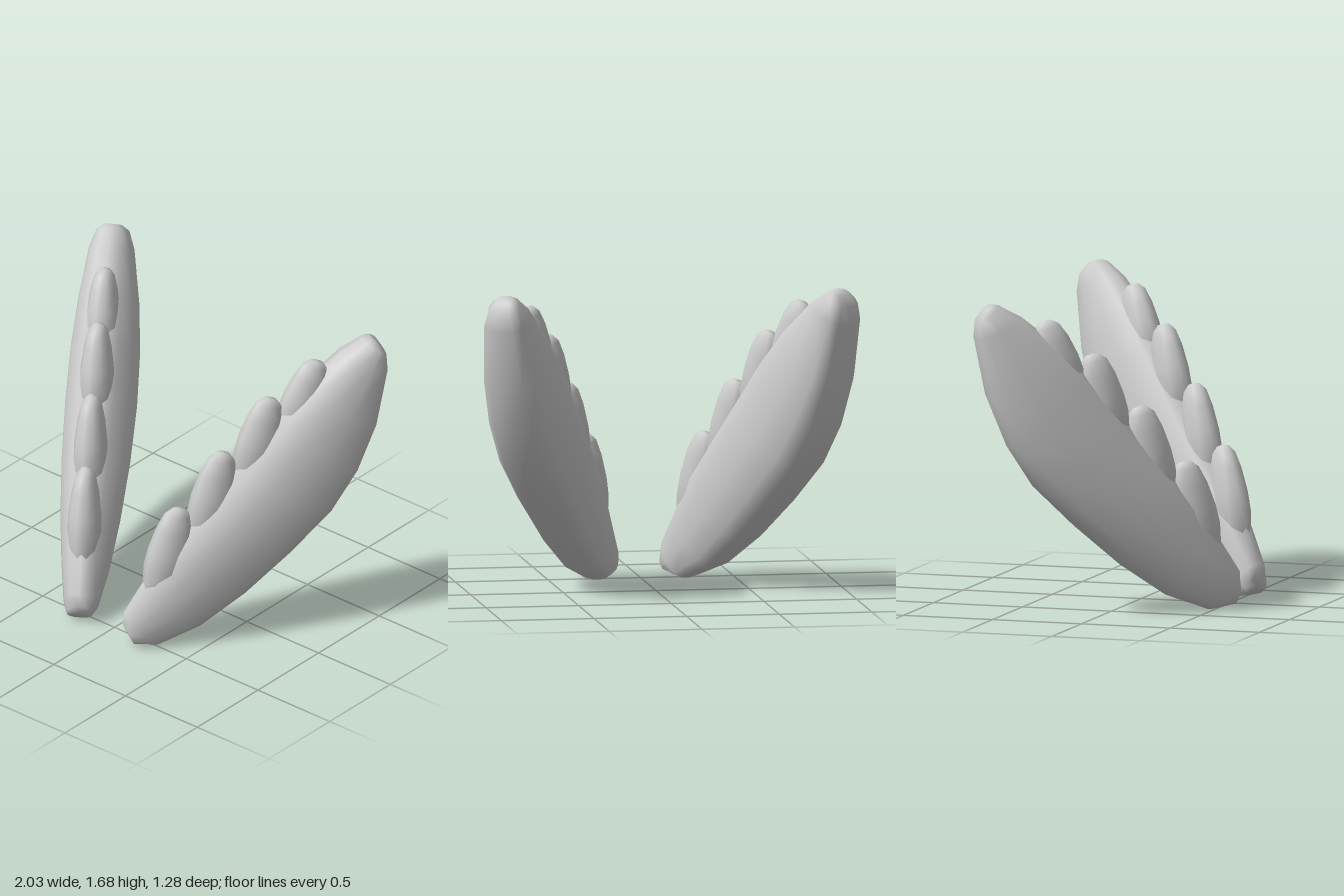
import * as THREE from 'three';

const SIDES = 12;
const W = 0.462; // sideways offset of each blade's mid plane
const along = (z) => (0.251 - z) / 0.842; // depth -> distance along the blade plane

// Blade sections: [lower z, lower y, upper z, upper y, half thickness]
const SECTIONS = [
  [0.575, 0.03, 0.61, 0.12, 0.07],
  [0.46, 0.005, 0.61, 0.2, 0.095],
  [0.265, 0.09, 0.515, 0.38, 0.13],
  [0.055, 0.26, 0.405, 0.58, 0.162],
  [-0.16, 0.48, 0.265, 0.78, 0.184],
  [-0.35, 0.7, 0.095, 1.02, 0.193],
  [-0.47, 0.92, -0.08, 1.27, 0.187],
  [-0.56, 1.18, -0.22, 1.44, 0.165],
  [-0.615, 1.5, -0.4, 1.61, 0.122],
  [-0.61, 1.59, -0.51, 1.68, 0.088],
  [-0.58, 1.65, -0.54, 1.685, 0.048],
];

// Teeth: [tip z, tip y, half height, lean]
const TEETH = [
  [0.35, 0.805, 0.33, 0.2],
  [0.145, 1.11, 0.33, 0.2],
  [-0.075, 1.4, 0.31, 0.22],
  [-0.295, 1.585, 0.28, 0.3],
];

const soften = (v, power) => Math.sign(v) * Math.abs(v) ** power;

// Loft sections, fuller along the rear edge, and close both ends
function bladeGeometry() {
  const pos = [];
  const index = [];
  const centres = [];
  for (const [lz, ly, uz, uy, t] of SECTIONS) {
    const low = new THREE.Vector3(along(lz), ly, W);
    const up = new THREE.Vector3(along(uz), uy, W);
    const mid = low.clone().add(up).multiplyScalar(0.5);
    const half = up.sub(mid);
    centres.push(mid);
    for (let j = 0; j < SIDES; j++) {
      const a = (j / SIDES) * Math.PI * 2;
      const c = Math.cos(a), s = Math.sin(a);
      const power = c < -0.01 ? 0.78 : 0.92;
      const p = mid.clone().addScaledVector(half, soften(c, power) - 0.15 * s * s);
      pos.push(p.x, p.y, W + t * soften(s, power));
    }
  }
  const last = SECTIONS.length - 1;
  const foot = pos.length / 3;
  pos.push(...centres[0].toArray(), ...centres[last].toArray());
  for (let j = 0; j < SIDES; j++) {
    const k = (j + 1) % SIDES;
    for (let i = 0; i < last; i++) {
      const a = i * SIDES + j, b = i * SIDES + k;
      index.push(a, b, b + SIDES, a, b + SIDES, a + SIDES);
    }
    index.push(foot, k, j, foot + 1, last * SIDES + j, last * SIDES + k);
  }
  const geo = new THREE.BufferGeometry();
  geo.setAttribute('position', new THREE.Float32BufferAttribute(pos, 3));
  geo.setIndex(index);
  geo.computeVertexNormals();
  return geo;
}

// Blunt, bullet-shaped tooth of unit size
function toothGeometry() {
  const profile = [
    [0, -1], [0.5, -0.85], [0.85, -0.5], [1, -0.1], [0.97, 0.2],
    [0.8, 0.6], [0.58, 0.87], [0.3, 0.98], [0, 1],
  ].map(([r, y]) => new THREE.Vector2(r, y));
  return new THREE.LatheGeometry(profile, 10);
}

export function createModel() {
  const model = new THREE.Group();
  model.name = 'toothedBlades';
  const material = new THREE.MeshStandardMaterial({ color: 0xcccccc });
  const bladeGeo = bladeGeometry();
  const toothGeo = toothGeometry();

  // The same toothed blade on both sides, mirrored across x
  for (const side of [1, -1]) {
    const half = new THREE.Group();
    half.name = side > 0 ? 'leftSide' : 'rightSide';
    half.scale.x = side;

    const turned = new THREE.Group();
    turned.name = 'toothedBlade';
    turned.rotation.y = 1.0;
    half.add(turned);

    const blade = new THREE.Mesh(bladeGeo, material);
    blade.name = 'blade';
    turned.add(blade);

    TEETH.forEach(([z, y, h, lean], i) => {
      const tooth = new THREE.Mesh(toothGeo, material);
      tooth.name = `tooth${i + 1}`;
      tooth.scale.set(0.128, h, 0.092);
      tooth.rotation.z = -lean;
      tooth.position.set(along(z) - h * Math.sin(lean), y - h * Math.cos(lean), W);
      turned.add(tooth);
    });
    model.add(half);
  }
  return model;
}
